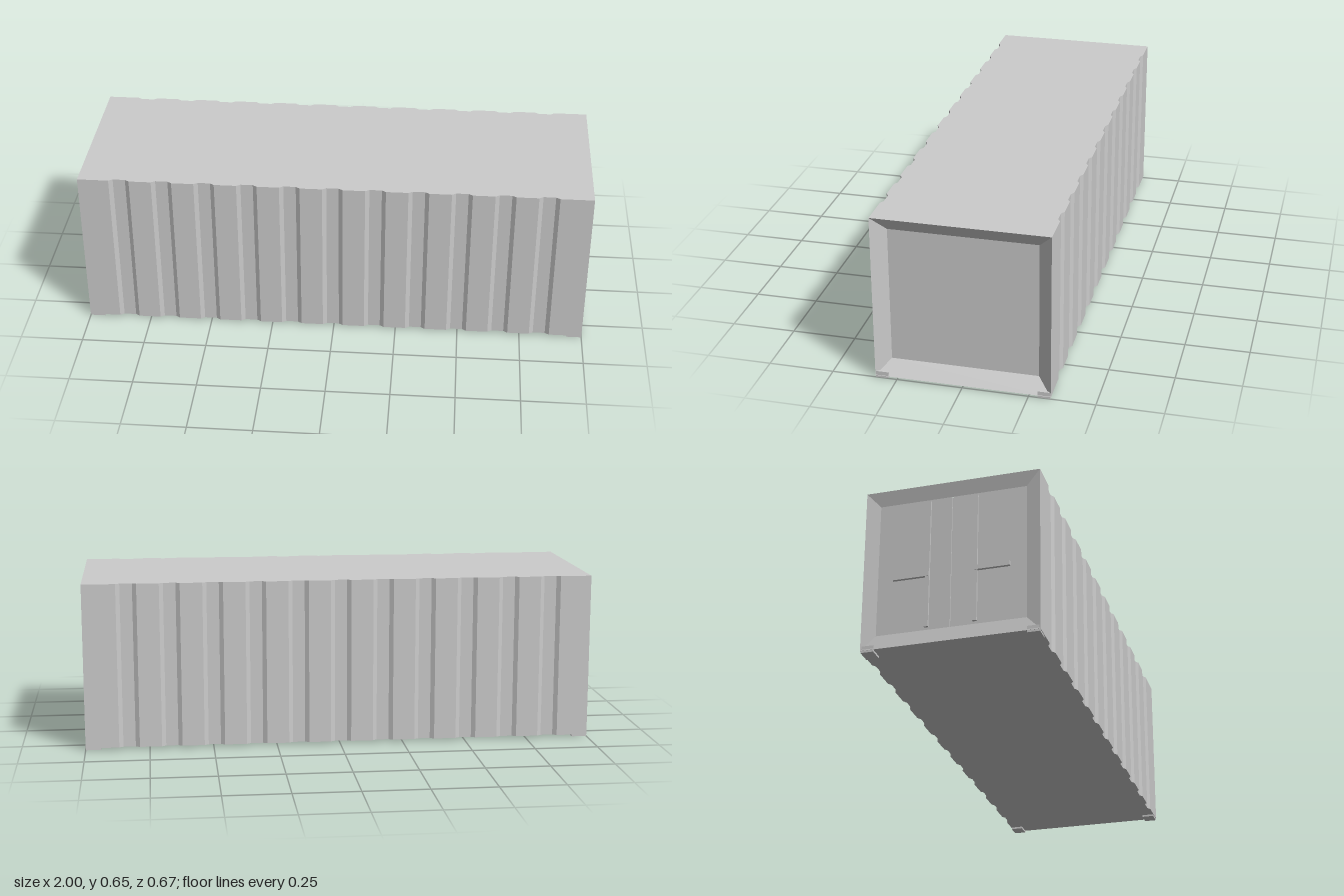
import * as THREE from 'three';

const Y0 = 0.008, Y1 = 0.655, HALF_Z = 0.333, GROOVE = 0.01;
const IN_Y0 = 0.065, IN_Y1 = 0.598, IN_Z = 0.28;
const FRONT_DEPTH = 0.042, DOOR_DEPTH = 0.012;

// Rectangular cross-sections [x, halfZ, y0, y1] joined by flat quads
function loft(sections) {
  const ring = ([x, z, a, b]) => [[x, a, z], [x, b, z], [x, b, -z], [x, a, -z]];
  const pos = [];
  for (let i = 0; i < sections.length - 1; i++) {
    const a = ring(sections[i]), b = ring(sections[i + 1]);
    for (let k = 0; k < 4; k++) {
      const n = (k + 1) % 4;
      pos.push(...a[k], ...b[k], ...b[n], ...a[k], ...b[n], ...a[n]);
    }
  }
  const g = new THREE.BufferGeometry();
  g.setAttribute('position', new THREE.Float32BufferAttribute(pos, 3));
  g.computeVertexNormals();
  return g;
}

export function createModel() {
  const group = new THREE.Group();
  group.name = 'cargoContainer';
  const grey = new THREE.MeshStandardMaterial({ color: 0xcccccc });
  grey.name = 'light grey';

  const add = (name, geometry, parent = group) => {
    const mesh = new THREE.Mesh(geometry, grey);
    mesh.name = name;
    parent.add(mesh);
    return mesh;
  };
  // Box given by its limits on each axis
  const box = (name, x0, x1, y0, y1, z0, z1, parent) =>
    add(name, new THREE.BoxGeometry(x1 - x0, y1 - y0, z1 - z0), parent)
      .position.set((x0 + x1) / 2, (y0 + y1) / 2, (z0 + z1) / 2);

  // Corrugated shell: eleven shallow grooves down both long sides
  const outer = (x, z = HALF_Z) => [x, z, Y0, Y1];
  const shell = [outer(-1)];
  for (let k = -5; k <= 5; k++) {
    const c = k / 6;
    shell.push(outer(c - 0.044), outer(c - 0.028, HALF_Z - GROOVE),
      outer(c + 0.02, HALF_Z - GROOVE), outer(c + 0.036));
  }
  shell.push(outer(1));
  add('corrugatedShell', loft(shell));

  // Sloped frames leading into the two ends
  const inner = (x) => [x, IN_Z, IN_Y0, IN_Y1];
  add('plainEndFrame', loft([outer(1), inner(1 - FRONT_DEPTH)]));
  add('doorEndFrame', loft([inner(-1 + DOOR_DEPTH), outer(-1)]));

  // Plain recessed end panel
  const px = 1 - FRONT_DEPTH;
  box('plainEndPanel', px - 0.01, px, IN_Y0, IN_Y1, -IN_Z, IN_Z);

  // Double doors with lock rods and handles
  const dx = -1 + DOOR_DEPTH;
  box('doorBacking', dx + 0.006, dx + 0.016, IN_Y0, IN_Y1, -IN_Z, IN_Z);
  for (const s of [-1, 1]) {
    const door = new THREE.Group();
    door.name = s > 0 ? 'leftDoor' : 'rightDoor';
    group.add(door);
    const span = (name, x0, x1, y0, y1, za, zb) =>
      box(name, x0, x1, y0, y1, Math.min(s * za, s * zb), Math.max(s * za, s * zb), door);
    span('doorPanel', dx, dx + 0.01, IN_Y0, IN_Y1, 0.003, IN_Z);
    span('lockRod', dx - 0.009, dx + 0.002, 0.075, 0.588, 0.082, 0.098);
    span('doorHandle', dx - 0.011, dx + 0.002, 0.277, 0.295, 0.085, 0.22);
  }

  // Corner fittings under the four corners
  for (const sx of [-1, 1]) for (const sz of [-1, 1]) {
    const fitting = add('cornerFitting', new THREE.BoxGeometry(0.059, 0.025, 0.048));
    fitting.position.set(sx * 0.9695, 0.0125, sz * 0.307);
  }
  return group;
}
